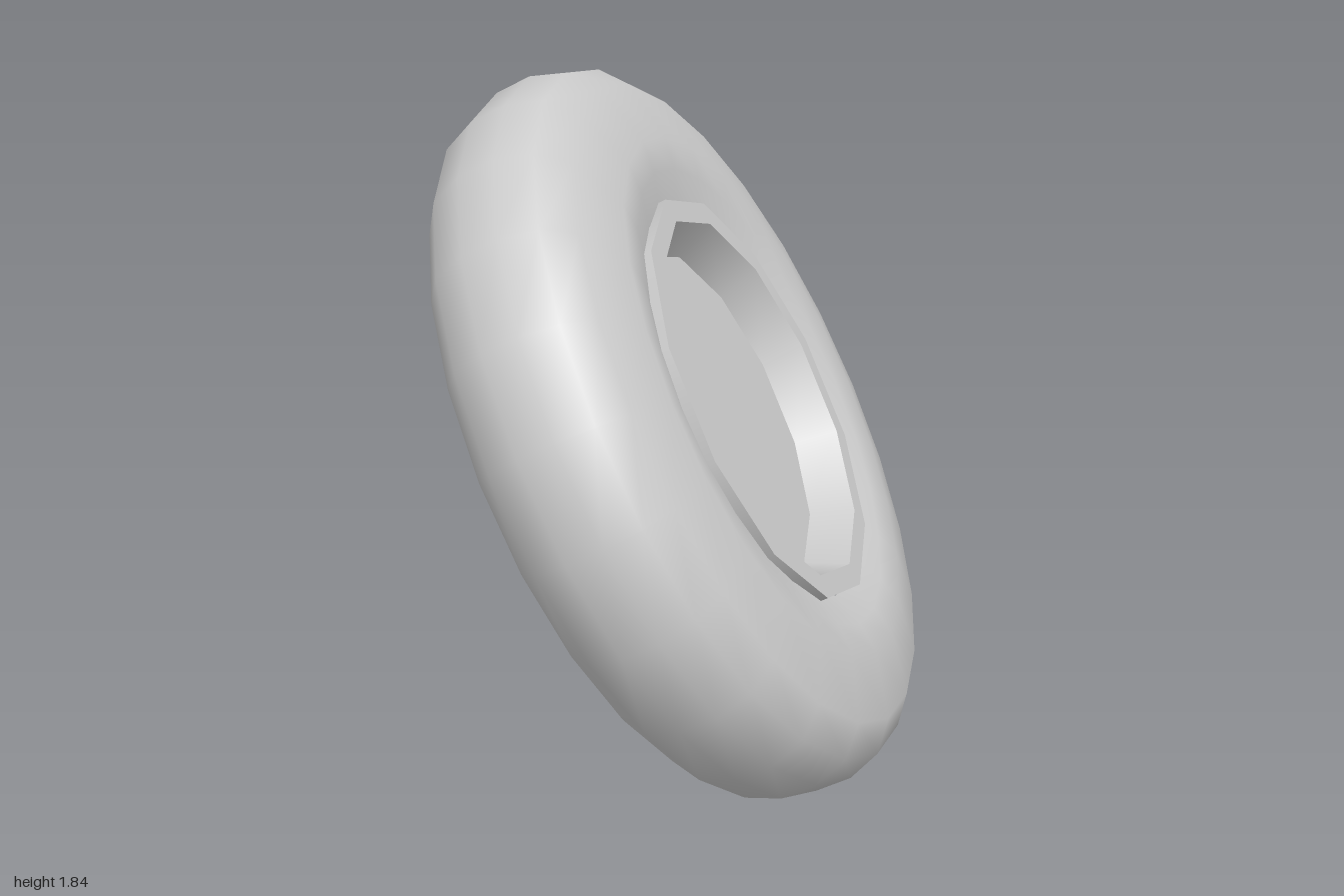
import * as THREE from 'three';
import { mergeGeometries } from 'three/addons/utils/BufferGeometryUtils.js';

// Profiles are [radius, axial position] pairs turned about the wheel axle (y)
const toPoints = (list) => list.map(([r, y]) => new THREE.Vector2(r, y));

// Turned part with a sharp edge at each profile point, smooth around the axle
function creasedLathe(profile, sides) {
  const bands = [];
  for (let i = 0; i < profile.length - 1; i++) {
    bands.push(new THREE.LatheGeometry(toPoints([profile[i], profile[i + 1]]), sides));
  }
  return mergeGeometries(bands);
}

export function createModel() {
  const model = new THREE.Group();
  model.name = 'wheel';
  const grey = new THREE.MeshStandardMaterial({ color: 0xcccccc });
  grey.name = 'light grey';

  const wheel = new THREE.Group();
  wheel.name = 'tiltedWheel';
  model.add(wheel);

  const add = (name, geometry) => {
    const mesh = new THREE.Mesh(geometry, grey);
    mesh.name = name;
    wheel.add(mesh);
  };

  // Rounded tyre, symmetrical about its middle plane
  const half = [[0.55, 0.2], [0.64, 0.232], [0.724, 0.244], [0.892, 0.206], [0.966, 0.143], [1, 0.05]];
  const lower = half.map(([r, y]) => [r, -y]);
  add('tyre', new THREE.LatheGeometry(toPoints([...lower, ...half.slice().reverse()]), 24));

  // Twelve-sided rim: deep dish behind, shallow dish on the outer face
  add('rim', creasedLathe([
    [0, -0.01], [0.41, -0.01], [0.505, -0.226], [0.567, -0.226],
    [0.567, 0.226], [0.505, 0.226], [0.455, 0.115], [0, 0.115],
  ], 12));

  // Axle hub inside the rear dish
  add('hub', creasedLathe([[0, -0.125], [0.135, -0.125], [0.16, -0.01]], 12));

  // Lean the axle up towards +x and rest the tyre on the ground
  wheel.rotation.z = -THREE.MathUtils.degToRad(62.4);
  wheel.position.y = 0.923;
  return model;
}
